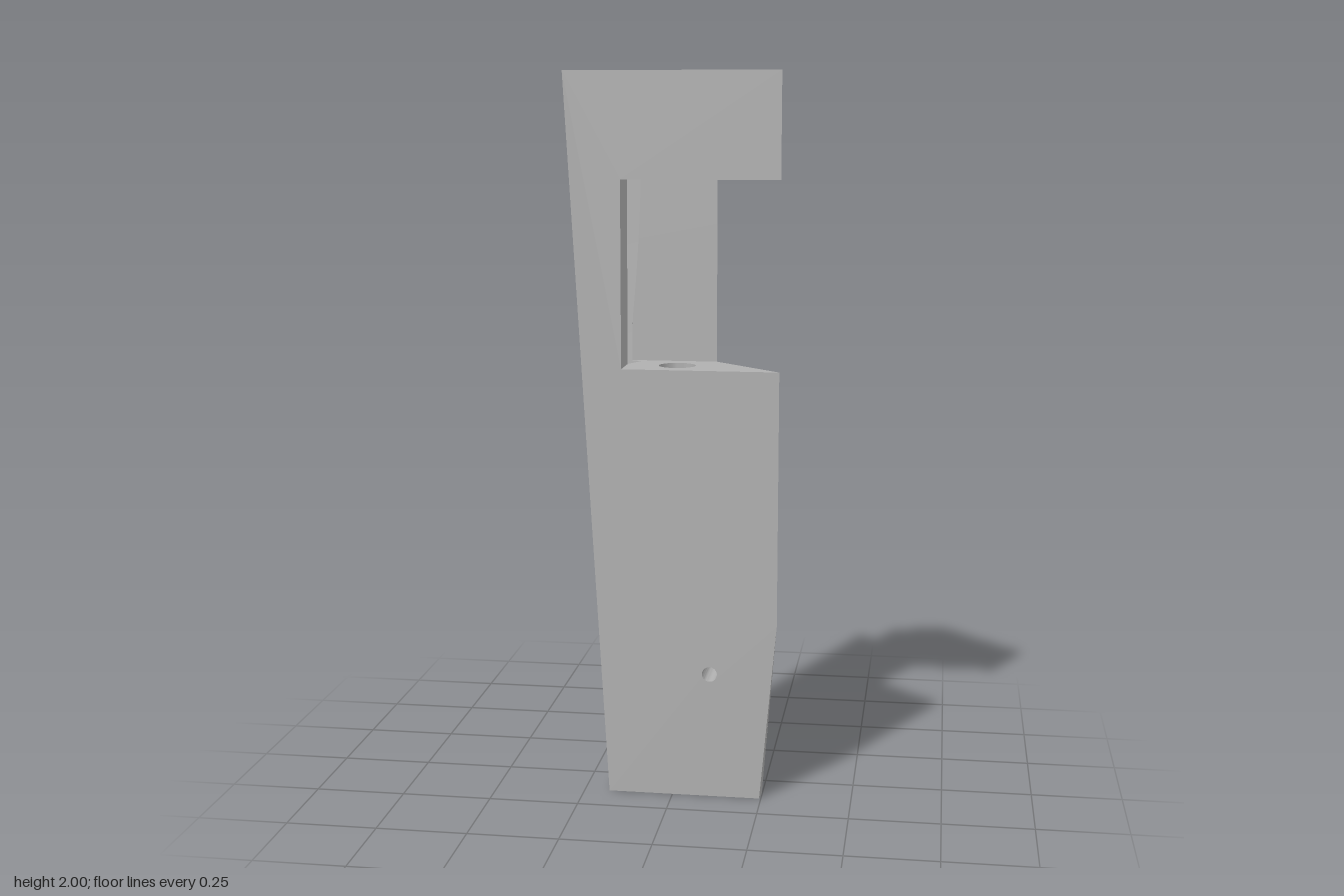
import * as THREE from 'three';
import { toCreasedNormals } from 'three/addons/utils/BufferGeometryUtils.js';

const V = (x, y, z) => new THREE.Vector3(x, y, z);
const FRONT = 0.14, SILL = 1.205, LINTEL = 1.715, TOP = 2;
const WIN_X = -0.14, WIN_Z = -0.045; // window cut: side and back planes
const SLOPE = 1.036; // right face: x = SLOPE * (z + 0.14)

// Body planes
const rightX = z => SLOPE * (z + 0.14);
const leftX = y => -0.18 - 0.0575 * y;
const ridgeZ = y => -0.115 - 0.0125 * y;
const backSlope = y => 0.36 + 0.017 * y;
const backZ = (x, y) => ridgeZ(y) - backSlope(y) * (x - rightX(ridgeZ(y)));

// Tapering channel: half width by height, side walls slanted in plan
const TIP = 0.57;
const half = y => 0.068 * (1 - Math.pow(Math.max(0, 1.85 - y) / (1.85 - TIP), 2));
const midZ = x => 0.0862 + 0.49 * x;
const gap = y => half(y) / 0.898;
const innerBack = y => V(-0.133 + 0.4325 * half(y), y, 0.021 - 0.9017 * half(y));
const innerFront = y => V(-0.133 - 0.4325 * half(y), y, 0.021 + 0.9017 * half(y));
const outerFront = y => V(leftX(y), y, midZ(leftX(y)) + gap(y));
const backCrossX = y =>
  (ridgeZ(y) + backSlope(y) * rightX(ridgeZ(y)) - 0.0862 + gap(y)) / (0.49 + backSlope(y));
const outerBack = y => {
  const x = Math.max(backCrossX(y), leftX(y));
  return V(x, y, midZ(x) - gap(y));
};
// Where the window clips the channel
const clipBack = y => {
  const x = Math.max(WIN_X, (WIN_Z + gap(y) - 0.0862) / 0.49);
  return V(x, y, midZ(x) - gap(y));
};
const clipFloor = y => V(WIN_X, y, 0.0356);

const steps = (a, b, n) => Array.from({ length: n + 1 }, (_, i) => a + (b - a) * i / n);
const circle = (cx, cy, r, n = 32) => steps(0, Math.PI * 2, n).slice(0, n)
  .map(t => [cx + r * Math.cos(t), cy + r * Math.sin(t)]);

// Triangles turned so the first one faces along "out"
function surface(tris, out) {
  const normal = t => t[1].clone().sub(t[0]).cross(t[2].clone().sub(t[0]));
  const good = tris.filter(t => normal(t).lengthSq() > 1e-14);
  const flip = normal(good[0]).dot(out) < 0;
  const pts = good.flatMap(t => (flip ? [t[0], t[2], t[1]] : t));
  const geo = new THREE.BufferGeometry().setFromPoints(pts);
  return toCreasedNormals(geo, 0.5);
}

// Flat outline with holes, placed in space by a mapping
function face(outline, holes, map, out) {
  const loops = [outline, ...holes].map(l => l.map(p => new THREE.Vector2(p[0], p[1])));
  if (THREE.ShapeUtils.isClockWise(loops[0])) loops[0].reverse();
  const index = THREE.ShapeUtils.triangulateShape(loops[0], loops.slice(1));
  const pts = loops.flat().map(p => map(p.x, p.y));
  return surface(index.map(t => t.map(i => pts[i])), out);
}

// Ruled band between two rows of points
function band(a, b, out) {
  const tris = [];
  for (let i = 0; i < a.length - 1; i++) {
    tris.push([a[i], b[i], b[i + 1]], [a[i], b[i + 1], a[i + 1]]);
  }
  return surface(tris, out);
}

export function createModel() {
  const group = new THREE.Group();
  const grey = new THREE.MeshStandardMaterial({ color: 0xb0b0b0, side: THREE.DoubleSide });
  grey.name = 'plain grey';
  const add = (name, geo) => {
    const mesh = new THREE.Mesh(geo, grey);
    mesh.name = name;
    group.add(mesh);
  };
  const X = V(1, 0, 0), Y = V(0, 1, 0), Z = V(0, 0, 1);
  const neg = v => v.clone().negate();
  const xz = v => [v.x, v.z];

  // Height where the channel's back wall passes the rear corner
  let lo = TIP, hi = SILL;
  for (let i = 0; i < 40; i++) {
    const m = (lo + hi) / 2;
    if (backCrossX(m) > leftX(m)) hi = m; else lo = m;
  }
  const corner = hi;
  const lowRows = [...steps(TIP, corner, 6), ...steps(corner, SILL, 16).slice(1)];
  const midRows = steps(SILL, LINTEL, 12), topRows = steps(LINTEL, TOP, 8);
  const allRows = [...lowRows, ...midRows.slice(1), ...topRows.slice(1)];

  // Outer faces
  const pin = circle(0.104, 0.355, 0.021, 24);
  add('frontFace', face(
    [[-0.18, 0], [0.245, 0], [0.29, 0.5], [0.29, SILL], [WIN_X, SILL], [WIN_X, LINTEL],
      [0.29, LINTEL], [0.29, TOP], [-0.295, TOP]],
    [pin], (x, y) => V(x, y, FRONT), Z));
  const pocket = { x: 0.07, z0: -0.05, z1: 0.08, y0: 0.73, y1: 1.01 };
  add('rightFace', face(
    [[ridgeZ(0), 0], [0.1, 0], [FRONT, 0.5], [FRONT, SILL], [WIN_Z, SILL], [WIN_Z, LINTEL],
      [FRONT, LINTEL], [FRONT, TOP], [ridgeZ(TOP), TOP]],
    [[[pocket.z0, pocket.y0], [pocket.z1, pocket.y0], [pocket.z1, pocket.y1], [pocket.z0, pocket.y1]],
      pin.map(([x, y]) => [x / SLOPE - 0.14, y])],
    (z, y) => V(rightX(z), y, z), X));
  add('leftFace', face(
    [[FRONT, 0], [FRONT, TOP],
      ...allRows.slice().reverse().map(y => [outerFront(y).z, y]),
      ...lowRows.filter(y => y > TIP && y <= corner).map(y => [outerBack(y).z, y]),
      [backZ(leftX(0), 0), 0]],
    [], (z, y) => V(leftX(y), y, z), neg(X)));
  add('backFace', face(
    [[rightX(ridgeZ(0)), 0], [rightX(ridgeZ(TOP)), TOP],
      ...allRows.filter(y => y >= corner).reverse().map(y => [outerBack(y).x, y]),
      [leftX(0), 0]],
    [], (x, y) => V(x, y, backZ(x, y)), neg(Z)));
  add('cornerChamfer', surface(
    [[V(0.29, 0.5, FRONT), V(0.245, 0, FRONT), V(rightX(0.1), 0, 0.1)]], X));

  // Level faces
  const bore = circle(0, 0.045, 0.051);
  const level = (name, y, outline, holes, out) =>
    add(name, face(outline, holes, (x, z) => V(x, y, z), out));
  level('topFace', TOP,
    [[-0.295, FRONT], [0.29, FRONT], [0, -0.14],
      ...[outerBack, innerBack, innerFront, outerFront].map(f => xz(f(TOP)))],
    [bore], Y);
  level('bottomFace', 0,
    [[-0.18, FRONT], [0.245, FRONT], [rightX(0.1), 0.1], [rightX(ridgeZ(0)), ridgeZ(0)],
      [-0.18, backZ(-0.18, 0)]], [], neg(Y));
  const windowOutline = y => {
    const c = clipBack(y);
    const pts = [[WIN_X, FRONT], [0.29, FRONT], [rightX(WIN_Z), WIN_Z]];
    if (c.z > WIN_Z + 1e-5) pts.push([WIN_X, WIN_Z]);
    return [...pts, xz(c), xz(innerBack(y)), xz(clipFloor(y))];
  };
  level('windowSill', SILL, windowOutline(SILL), [bore], Y);
  level('windowLintel', LINTEL, windowOutline(LINTEL), [bore], neg(Y));

  // Upright window walls
  add('windowSideWall', band(midRows.map(clipFloor), midRows.map(y => V(WIN_X, y, FRONT)), X));
  add('windowBackWall', band(
    midRows.map(y => V(clipBack(y).x, y, WIN_Z)),
    midRows.map(y => V(rightX(WIN_Z), y, WIN_Z)), Z));
  add('windowBackReturn', band(
    midRows.map(y => V(clipBack(y).x, y, WIN_Z)), midRows.map(clipBack), X));

  // Channel walls and floor, opened where the window breaks through
  const into = V(-0.9, 0, -0.43);
  add('channelFrontWall', band(allRows.map(innerFront), allRows.map(outerFront), neg(Z)));
  [[lowRows, innerBack, innerBack], [midRows, clipBack, clipFloor], [topRows, innerBack, innerBack]]
    .forEach(([rows, wallEnd, floorEnd]) => {
      add('channelBackWall', band(rows.map(outerBack), rows.map(wallEnd), Z));
      add('channelFloor', band(rows.map(floorEnd), rows.map(innerFront), into));
    });

  // Vertical bore above and below the window
  const ring = y => [...bore, bore[0]].map(([x, z]) => V(x, y, z));
  add('upperBore', band(ring(LINTEL), ring(TOP), neg(X)));
  add('lowerBore', band(ring(0.73), ring(SILL), neg(X)));
  level('boreEnd', 0.73, bore, [], Y);

  // Pin hole running front to back
  const pinLoop = [...pin, pin[0]];
  add('pinHole', band(pinLoop.map(([x, y]) => V(x, y, FRONT)),
    pinLoop.map(([x, y]) => V(x, y, x / SLOPE - 0.14)), neg(X)));

  // Side pocket
  const { x: px, z0, z1, y0, y1 } = pocket;
  const wall = (name, a, b, out) => add(name, band(
    [V(a[0], y0, a[1]), V(a[0], y1, a[1])], [V(b[0], y0, b[1]), V(b[0], y1, b[1])], out));
  wall('pocketBack', [px, z0], [px, z1], X);
  wall('pocketFrontWall', [px, z1], [rightX(z1), z1], neg(Z));
  wall('pocketRearWall', [px, z0], [rightX(z0), z0], Z);
  const pocketPlan = [[px, z0], [px, z1], [rightX(z1), z1], [rightX(z0), z0]];
  level('pocketFloor', y0, pocketPlan, [], Y);
  level('pocketCeiling', y1, pocketPlan, [], neg(Y));

  return group;
}
